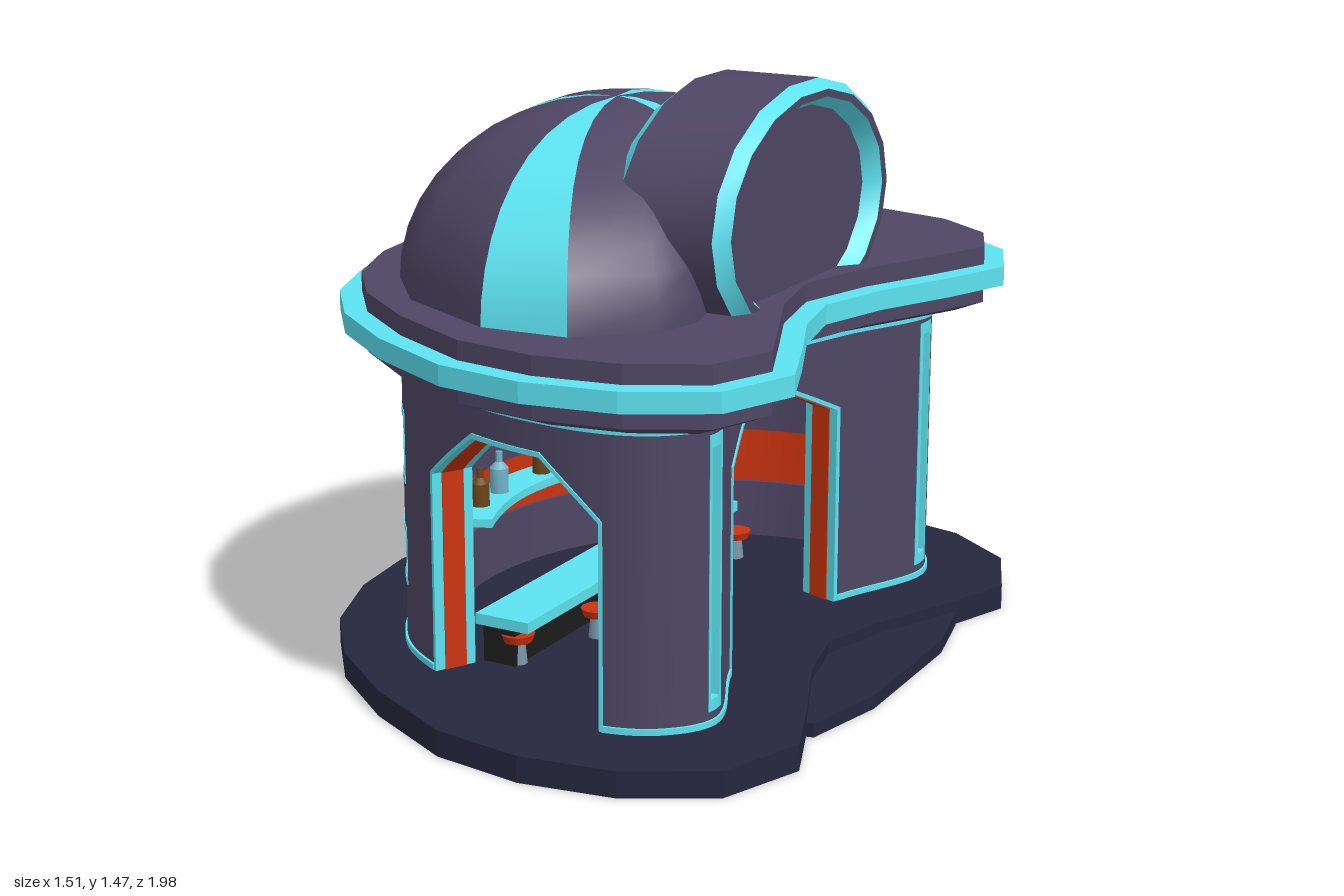
import * as THREE from 'three';
import { toCreasedNormals } from 'three/addons/utils/BufferGeometryUtils.js';

const mat = (color) => new THREE.MeshStandardMaterial({ color, side: THREE.DoubleSide });
const PURPLE = mat(0x4e4664), TEAL = mat(0x5ce2f0), ORANGE = mat(0xcc330f), NAVY = mat(0x26263f);
const BLACK = mat(0x1c1c1c), GREEN = mat(0x1f6b2a), AMBER = mat(0x6b4516), BLUE = mat(0x6fb6c9), STEEL = mat(0x7a94a8);

// Closed ground-plan curve: whole numbers of s land on the given points, d offsets outwards
function plan(points) {
  const n = points.length;
  const curve = new THREE.CatmullRomCurve3(points.map(([x, z]) => new THREE.Vector3(x, 0, z)), true);
  const at = (s, d = 0, y = 0) => {
    const u = (((s / n) % 1) + 1) % 1;
    const p = curve.getPoint(u), t = curve.getTangent(u);
    return new THREE.Vector3(p.x + t.z * d, y, p.z - t.x * d);
  };
  return { n, at };
}
const WALL = plan([[0.33, 0.775], [0.06, 0.755], [-0.22, 0.64], [-0.37, 0.53], [-0.49, 0.33], [-0.56, 0.02],
  [-0.51, -0.29], [-0.34, -0.56], [-0.06, -0.74], [0.24, -0.785], [0.45, -0.73], [0.53, -0.58],
  [0.42, -0.28], [0.35, 0.02], [0.42, 0.32], [0.53, 0.61], [0.46, 0.72]]);
const RIM = plan([[0.46, 0.93], [0.23, 0.965], [0, 0.93], [-0.25, 0.8], [-0.46, 0.64], [-0.61, 0.45], [-0.7, 0.22],
  [-0.73, 0], [-0.7, -0.23], [-0.6, -0.47], [-0.44, -0.68], [-0.22, -0.84], [0, -0.93], [0.25, -0.97],
  [0.47, -0.92], [0.65, -0.79], [0.73, -0.6], [0.66, -0.41], [0.565, -0.2], [0.51, 0], [0.555, 0.2],
  [0.65, 0.42], [0.73, 0.62], [0.655, 0.82]]);

function geometryFrom(triangles, crease = 0.6) {
  const g = new THREE.BufferGeometry().setFromPoints(triangles);
  return toCreasedNormals(g, crease);
}

export function createModel() {
  const model = new THREE.Group();
  const add = (name, geometry, material, parent = model) => {
    const mesh = new THREE.Mesh(geometry, material);
    mesh.name = name;
    parent.add(mesh);
    return mesh;
  };

  // Curved block following the wall from s0 to s1; lo and hi may vary along the way
  function block(name, material, s0, s1, lo, hi, inner, outer) {
    const val = (v, s) => (typeof v === 'function' ? v(s) : v);
    const n = Math.max(1, Math.ceil((s1 - s0) * 8)), rings = [], tri = [];
    for (let i = 0; i <= n; i++) {
      const s = s0 + (s1 - s0) * i / n, a = val(lo, s), b = val(hi, s);
      rings.push([[outer, a], [outer, b], [inner, b], [inner, a]].map(([d, y]) => WALL.at(s, d, y)));
    }
    const quad = (a, b, c, d) => tri.push(a, b, c, a, c, d);
    for (let i = 0; i < n; i++) for (let k = 0; k < 4; k++) {
      const m = (k + 1) % 4, p = rings[i], q = rings[i + 1];
      quad(q[k], p[k], p[m], q[m]);
    }
    const [a, b, c, d] = rings[0];
    quad(a, d, c, b);
    quad(...rings[n]);
    return add(name, geometryFrom(tri), material);
  }

  // Capped slab lofted upwards through offset copies of the rim plan
  function slab(name, material, levels) {
    const tri = [], n = RIM.n;
    const rings = levels.map(([d, y]) => Array.from({ length: n }, (_, i) => RIM.at(i, d, y)));
    for (let j = 0; j + 1 < rings.length; j++) for (let i = 0; i < n; i++) {
      const k = (i + 1) % n, lo = rings[j], hi = rings[j + 1];
      tri.push(lo[k], lo[i], hi[i], lo[k], hi[i], hi[k]);
    }
    for (const [ring, up] of [[rings[0], false], [rings[rings.length - 1], true]]) {
      const faces = THREE.ShapeUtils.triangulateShape(ring.map((p) => new THREE.Vector2(p.x, p.z)), []);
      for (const f of faces) {
        const [a, b, c] = f.map((i) => ring[i]);
        const facesUp = (b.z - a.z) * (c.x - a.x) - (b.x - a.x) * (c.z - a.z) > 0;
        tri.push(a, ...(facesUp === up ? [b, c] : [c, b]));
      }
    }
    return add(name, geometryFrom(tri, 0.2), material);
  }

  // Base and entrance step
  slab('base', NAVY, [[0.025, 0], [0.025, 0.065]]);
  const stepShape = new THREE.Shape([[0.45, -0.45], [0.7, -0.42], [0.745, -0.22], [0.75, 0.2], [0.7, 0.43], [0.45, 0.48]]
    .map(([x, z]) => new THREE.Vector2(x, -z)));
  add('entranceStep', new THREE.ExtrudeGeometry(stepShape, { depth: 0.035, bevelEnabled: false }).rotateX(-Math.PI / 2), NAVY);

  // Walls, leaving gaps for doors and windows
  const Y0 = 0.065, Y1 = 0.81, IN = -0.1;
  const frontArch = (s) => Math.min(0.71, 0.57 + 0.14 * Math.min(s, 2 - s) / 0.625);
  const sideArch = (s) => 0.72 - 0.13 * Math.pow(Math.abs(s - 13), 1.15);
  for (const [a, b] of [[2, 3], [9.3, 10.85], [11.15, 12], [14, 14.85], [15.15, 17]]) block('wall', PURPLE, a, b, Y0, Y1, IN, 0);
  for (const [lo, hi] of [[Y0, 0.222], [0.372, 0.485], [0.67, Y1]]) block('windowWall', PURPLE, 3, 9.3, lo, hi, IN, 0);
  block('frontDoorHead', PURPLE, 0, 2, frontArch, Y1, IN, 0);
  block('sideDoorHead', PURPLE, 12, 14, sideArch, Y1, IN, 0);
  block('baseTrim', TEAL, 2, 12, Y0, 0.08, -0.02, 0.006);
  block('baseTrim', TEAL, 14, 17, Y0, 0.08, -0.02, 0.006);
  block('topTrim', TEAL, 0, 17, 0.78, 0.811, -0.02, 0.01);

  // Recessed glowing windows with frames
  function recessedWindow(s0, s1, y0, y1, f) {
    block('windowPanel', ORANGE, s0, s1, y0, y1, -0.09, -0.045);
    block('windowSill', TEAL, s0, s1, y0, y0 + f, -0.06, 0.002);
    block('windowHead', TEAL, s0, s1, y1 - f, y1, -0.06, 0.002);
    block('windowSide', TEAL, s0, s0 + 0.05, y0, y1, -0.06, 0.002);
    block('windowSide', TEAL, s1 - 0.05, s1, y0, y1, -0.06, 0.002);
  }
  recessedWindow(3, 9.3, 0.222, 0.372, 0.014);
  recessedWindow(3, 9.3, 0.485, 0.67, 0.016);
  for (const s of [11, 15]) {
    recessedWindow(s - 0.15, s + 0.15, 0.1, 0.765, 0.03);
    for (const [lo, hi] of [[Y0, 0.1], [0.765, Y1]]) block('windowWall', PURPLE, s - 0.15, s + 0.15, lo, hi, IN, 0);
  }

  // Door linings: teal edges with an orange band between
  for (const [s0, s1, arch] of [[0, 2, frontArch], [12, 14, sideArch]]) {
    for (const [m, w, inner, outer] of [[TEAL, 0.012, -0.105, 0.004], [ORANGE, 0.015, -0.08, -0.022]]) {
      const ds = w * 3.3;
      block('doorJamb', m, s0, s0 + ds, Y0, arch, inner, outer);
      block('doorJamb', m, s1 - ds, s1, Y0, arch, inner, outer);
      block('doorArch', m, s0, s1, (s) => arch(s) - w, arch, inner, outer);
    }
  }

  // Roof slab and rim
  slab('roof', PURPLE, [[-0.13, 0.8], [-0.055, 0.83], [-0.055, 0.977]]);
  slab('roofRim', TEAL, [[0, 0.88], [0, 0.93]]);

  // Dome: each base point is drawn to the apex on an arc; four segments are stripes
  const foot = [[0.22, 0.74], [0, 0.755], [-0.29, 0.61], [-0.45, 0.42], [-0.54, 0.22], [-0.58, 0.07], [-0.58, -0.05],
    [-0.54, -0.22], [-0.45, -0.41], [-0.29, -0.6], [0.02, -0.77], [0.27, -0.71], [0.34, -0.56], [0.33, -0.35],
    [0.3, -0.17], [0.3, 0.08], [0.36, 0.3], [0.41, 0.47], [0.38, 0.6]];
  const domePoint = (i, t) => {
    const [x, z] = foot[i % foot.length], u = Math.sin(t * Math.PI / 2);
    const dx = x + 0.05, dz = z - 0.04;
    const lean = 4 * u * (1 - u) * Math.abs(dz) / Math.hypot(dx, dz) * (dz < 0 ? 0.08 : 0.03);
    return new THREE.Vector3(-0.05 + u * dx - lean, 0.97 + 0.432 * Math.cos(t * Math.PI / 2), 0.04 + u * dz);
  };
  const shell = [], stripes = [];
  for (let i = 0; i < foot.length; i++) {
    const out = [0, 5, 10, 14].includes(i) ? stripes : shell;
    for (let j = 0; j < 10; j++) {
      const a = domePoint(i, j / 10), b = domePoint(i + 1, j / 10);
      const c = domePoint(i + 1, (j + 1) / 10), d = domePoint(i, (j + 1) / 10);
      if (j > 0) out.push(a, b, c);
      out.push(a, c, d);
    }
  }
  add('dome', geometryFrom(shell, 0.7), PURPLE);
  add('domeStripes', geometryFrom(stripes, 0.7), TEAL);

  // Oval porthole drum facing the side
  const porthole = new THREE.Group();
  porthole.name = 'porthole';
  porthole.position.set(0, 1.167, 0.02);
  porthole.scale.set(1, 0.31, 0.465);
  model.add(porthole);
  const band = (name, m, pts) => add(name, toCreasedNormals(new THREE.LatheGeometry(
    pts.map(([r, x]) => new THREE.Vector2(r, x)), 18).rotateZ(-Math.PI / 2), 0.5), m, porthole);
  band('drumBack', PURPLE, [[0, 0.165], [0.92, 0.165]]);
  band('drumBackEdge', TEAL, [[0.92, 0.165], [1, 0.2]]);
  band('drum', PURPLE, [[1, 0.2], [1, 0.45]]);
  band('drumFrontEdge', TEAL, [[1, 0.45], [0.92, 0.48]]);
  band('drumFace', PURPLE, [[0.92, 0.48], [0.86, 0.48]]);
  band('drumInnerEdge', TEAL, [[0.86, 0.48], [0.79, 0.44]]);
  band('drumPane', PURPLE, [[0.79, 0.44], [0, 0.44]]);

  // Bar counter and stools
  const box = (name, m, x0, x1, y0, y1, z0, z1) => add(name, new THREE.BoxGeometry(x1 - x0, y1 - y0, z1 - z0), m)
    .position.set((x0 + x1) / 2, (y0 + y1) / 2, (z0 + z1) / 2);
  box('counterBase', BLACK, -0.15, -0.06, Y0, 0.165, -0.53, 0.53);
  box('counterTop', TEAL, -0.16, -0.01, 0.165, 0.193, -0.55, 0.55);
  for (const [x, z] of [[-0.07, 0.5], [0.01, 0.25], [0.09, 0.03], [0.01, -0.24], [0.03, -0.46]]) {
    const stool = new THREE.Group();
    stool.name = 'stool';
    stool.position.set(x, Y0, z);
    model.add(stool);
    add('stoolLeg', new THREE.CylinderGeometry(0.018, 0.024, 0.06, 10), STEEL, stool).position.y = 0.03;
    add('stoolSeat', new THREE.CylinderGeometry(0.043, 0.036, 0.02, 12), ORANGE, stool).position.y = 0.067;
  }

  // Shelves with bottles along the back wall
  block('lowerShelf', TEAL, 3.9, 6.2, 0.308, 0.33, -0.21, IN);
  block('upperShelf', TEAL, 4.97, 6.2, 0.458, 0.478, -0.21, IN);
  for (const [z, y, h, m] of [[0.29, 0.33, 0.14, GREEN], [0.18, 0.33, 0.1, AMBER], [0.06, 0.33, 0.11, BLUE],
    [-0.14, 0.33, 0.1, AMBER], [-0.22, 0.33, 0.1, GREEN], [-0.16, 0.478, 0.1, GREEN], [-0.25, 0.478, 0.1, AMBER]]) {
    const r = m === GREEN ? 0.017 : 0.025;
    const pts = [[0, 0], [r, 0], [r, h * 0.6], [0.009, h * 0.75], [0.009, h], [0, h]].map(([a, b]) => new THREE.Vector2(a, b));
    const p = WALL.at(5 - (z - 0.02) / 0.31, -0.16, y);
    add('bottle', toCreasedNormals(new THREE.LatheGeometry(pts, 10), 0.7), m).position.set(p.x, y, z);
  }
  return model;
}
